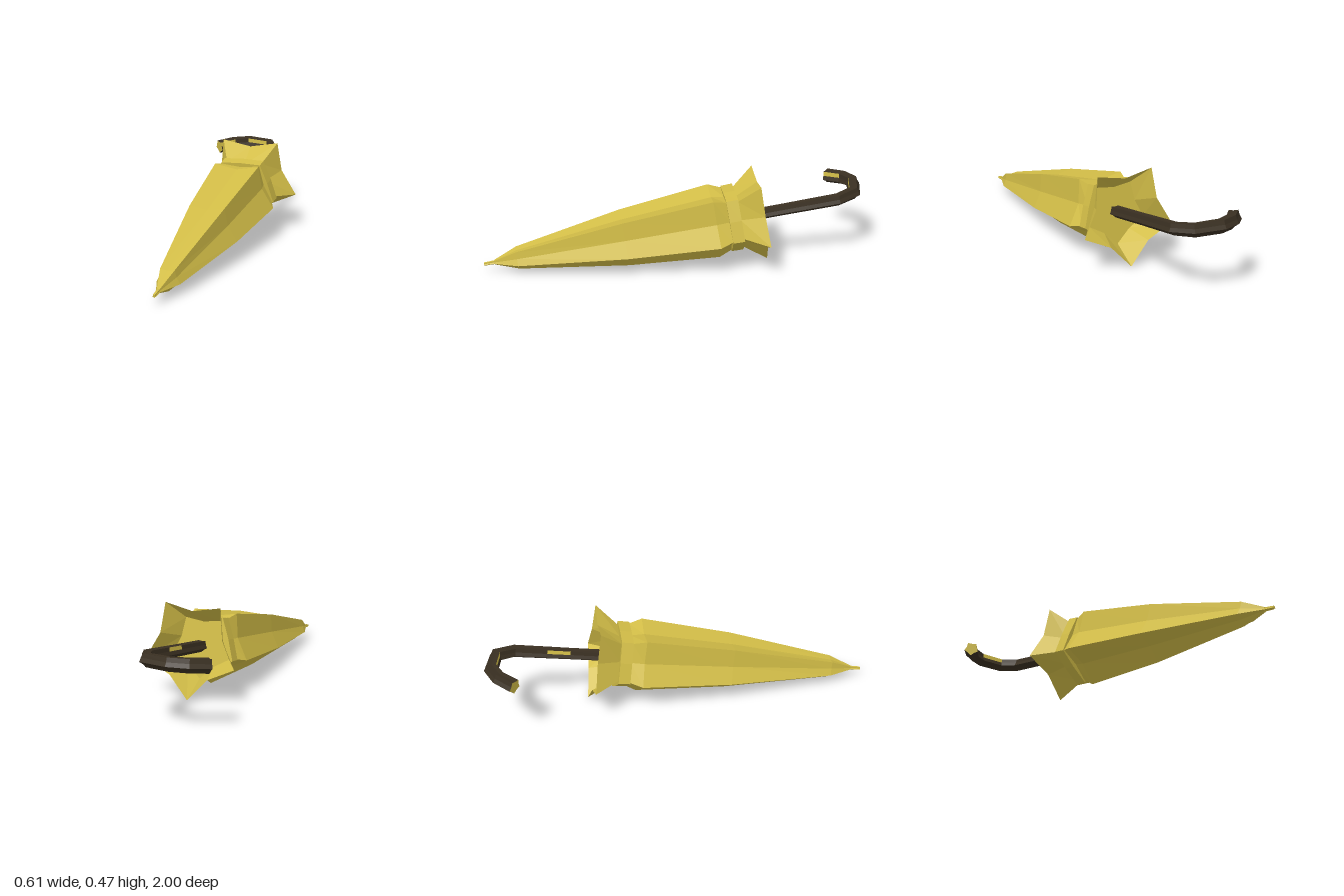
import * as THREE from 'three';

const POINTS = 10; // five ribs and five folds

// Star section: ribs at radius R, folds at radius r, one rib pointing down.
function star(R, r) {
  return Array.from({ length: POINTS }, (_, j) => {
    const a = -Math.PI / 2 + (j * 2 * Math.PI) / POINTS;
    const q = j % 2 ? r : R;
    return [q * Math.cos(a), q * Math.sin(a)];
  });
}

// Star ring at distance s behind the tip.
const ring = (s, R, r) => star(R, r).map(([x, y]) => new THREE.Vector3(x, y, -s));

// Skin over rings running from front to back; slot(i, j) picks a material index.
function loft(rings, { capStart = false, capEnd = false, capSlot = 0, slot = () => 0 } = {}) {
  const buckets = [[], []];
  const tri = (m, ...pts) => pts.forEach((p) => buckets[m].push(p.x, p.y, p.z));
  for (let i = 0; i < rings.length - 1; i++) {
    for (let j = 0; j < POINTS; j++) {
      const k = (j + 1) % POINTS, m = slot(i, j);
      const a = rings[i], b = rings[i + 1];
      tri(m, a[j], b[j], a[k]);
      tri(m, a[k], b[j], b[k]);
    }
  }
  const cap = (pts, front) => {
    const c = pts.reduce((sum, p) => sum.add(p), new THREE.Vector3()).divideScalar(POINTS);
    for (let j = 0; j < POINTS; j++) {
      const k = (j + 1) % POINTS;
      if (front) tri(capSlot, c, pts[j], pts[k]);
      else tri(capSlot, c, pts[k], pts[j]);
    }
  };
  if (capStart) cap(rings[0], true);
  if (capEnd) cap(rings[rings.length - 1], false);

  const geo = new THREE.BufferGeometry();
  geo.setAttribute('position', new THREE.Float32BufferAttribute(buckets.flat(), 3));
  geo.addGroup(0, buckets[0].length / 3, 0);
  geo.addGroup(buckets[0].length / 3, buckets[1].length / 3, 1);
  geo.computeVertexNormals(); // unshared corners give flat facets
  return geo;
}

// Rings across a path in the horizontal plane; each entry is [x, s, radius].
function sweep(path) {
  return path.map(([x, s, R], i) => {
    const p = path[Math.max(i - 1, 0)], n = path[Math.min(i + 1, path.length - 1)];
    const d = new THREE.Vector2(n[0] - p[0], -(n[1] - p[1])).normalize();
    return star(R, R * 0.74).map(([u, v]) => new THREE.Vector3(x - d.y * u, v, -s + d.x * u));
  });
}

export function createModel() {
  const yellow = new THREE.MeshStandardMaterial({ color: 0xd2bd47, flatShading: true, side: THREE.DoubleSide });
  yellow.name = 'mustard fabric';
  const brown = new THREE.MeshStandardMaterial({ color: 0x3a3022, flatShading: true });
  brown.name = 'dark wood';

  const umbrella = new THREE.Group();
  umbrella.name = 'umbrella';
  const add = (name, geo, material) => {
    const mesh = new THREE.Mesh(geo, material);
    mesh.name = name;
    umbrella.add(mesh);
  };

  // Metal-like point at the front end
  add('tip', loft([ring(0, 0.009, 0.006), ring(0.055, 0.011, 0.007)], { capStart: true }), [yellow, yellow]);

  // Folded canopy with five ribs
  add('canopy', loft([
    ring(0.055, 0.013, 0.009),
    ring(0.175, 0.062, 0.045),
    ring(0.735, 0.157, 0.11),
    ring(1.21, 0.205, 0.143),
    ring(1.278, 0.175, 0.13),
  ]), [yellow, yellow]);

  // Strap holding the folds together
  add('strap', loft([
    ring(1.276, 0.165, 0.13),
    ring(1.276, 0.184, 0.153),
    ring(1.337, 0.186, 0.155),
    ring(1.337, 0.16, 0.12),
  ]), [yellow, yellow]);

  // Flared hem, closed where it meets the strap
  add('hem', loft([ring(1.335, 0.165, 0.122), ring(1.457, 0.262, 0.182)], { capStart: true }), [yellow, yellow]);

  // Shaft and hooked handle, with worn light patches along the inner side
  const path = [
    [0, 1.33, 0.032], [0, 1.58, 0.032], [0, 1.7, 0.033], [0, 1.866, 0.034],
    [-0.05, 1.962, 0.036], [-0.182, 1.988, 0.037], [-0.265, 1.951, 0.038], [-0.333, 1.876, 0.039],
  ];
  const worn = [1, 4, 6];
  add('handle', loft(sweep(path), {
    capEnd: true,
    capSlot: 1,
    slot: (i, j) => (j === 6 && worn.includes(i) ? 1 : 0),
  }), [brown, yellow]);

  // Lay it down with the handle end raised
  umbrella.rotation.x = 0.149;
  umbrella.position.set(0.055, 0.048, 1);

  const model = new THREE.Group();
  model.name = 'foldedUmbrella';
  model.add(umbrella);
  return model;
}
